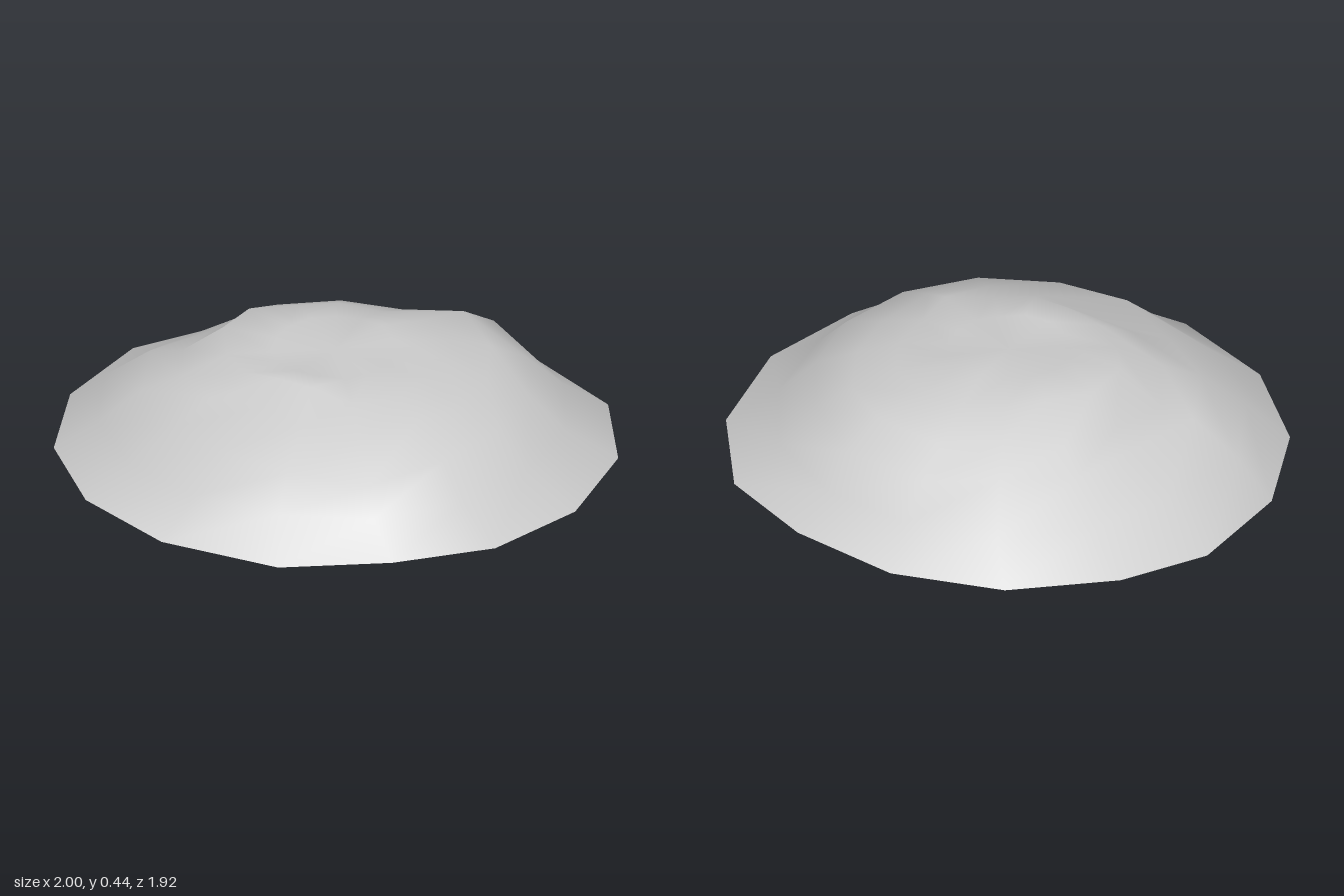
import * as THREE from 'three';

// Rim corners [x, z], starting at +x and turning towards +z
const RIM = [
  [1, -0.02], [0.91, 0.37], [0.66, 0.66], [0.3, 0.85], [-0.12, 0.96],
  [-0.52, 0.83], [-0.83, 0.55], [-1, 0.17], [-1, -0.25], [-0.83, -0.55],
  [-0.52, -0.83], [-0.12, -0.96], [0.3, -0.92], [0.66, -0.78], [0.91, -0.45],
];
const SIDES = RIM.length;
const SAGGING_CORNER = 3;

// Inner rings: radius and height, one value for all corners or one per corner
const RINGS = [
  { // foot of the slope
    r: [0.81, 0.82, 0.82, 0.8, 0.8, 0.82, 0.84, 0.87, 0.8, 0.83, 0.83, 0.82, 0.83, 0.85, 0.83],
    y: 0.157,
  },
  { // shoulder
    r: [0.69, 0.7, 0.73, 0.68, 0.66, 0.64, 0.68, 0.7, 0.61, 0.66, 0.64, 0.68, 0.74, 0.71, 0.7],
    y: [0.285, 0.27, 0.243, 0.265, 0.285, 0.26, 0.28, 0.285, 0.27, 0.27, 0.28, 0.25, 0.285, 0.285, 0.285],
  },
  { // upper slope
    r: [0.54, 0.53, 0.53, 0.47, 0.41, 0.49, 0.54, 0.575, 0.53, 0.54, 0.5, 0.54, 0.6, 0.58, 0.55],
    y: [0.34, 0.357, 0.335, 0.345, 0.355, 0.34, 0.33, 0.31, 0.32, 0.335, 0.35, 0.325, 0.37, 0.35, 0.345],
  },
  { // edge of the plateau
    r: [0.37, 0.42, 0.38, 0.33, 0.32, 0.36, 0.38, 0.42, 0.42, 0.36, 0.37, 0.38, 0.4, 0.42, 0.4],
    y: [0.405, 0.405, 0.39, 0.43, 0.43, 0.41, 0.41, 0.43, 0.428, 0.42, 0.41, 0.39, 0.4, 0.395, 0.4],
  },
  { // plateau
    r: 0.22,
    y: [0.415, 0.415, 0.41, 0.42, 0.42, 0.415, 0.415, 0.425, 0.43, 0.437, 0.435, 0.435, 0.44, 0.425, 0.415],
  },
];

const pick = (value, k) => (Array.isArray(value) ? value[k] : value);

export function createModel() {
  const group = new THREE.Group();
  const positions = [];
  const index = [];

  // Rim, with one corner sagging to the ground
  RIM.forEach(([x, z], k) => positions.push(x, k === SAGGING_CORNER ? 0 : 0.035, z));

  // Rings climbing to the flat, uneven top
  for (const ring of RINGS) {
    for (let k = 0; k < SIDES; k++) {
      const a = (k / SIDES) * Math.PI * 2;
      const r = pick(ring.r, k);
      positions.push(r * Math.cos(a), pick(ring.y, k), r * Math.sin(a));
    }
  }
  positions.push(0, 0.415, 0);

  // Skin between neighbouring rings, then the cap
  const top = SIDES * (RINGS.length + 1);
  for (let n = 0; n <= RINGS.length; n++) {
    for (let k = 0; k < SIDES; k++) {
      const o = n * SIDES + k;
      const oNext = n * SIDES + ((k + 1) % SIDES);
      if (n === RINGS.length) index.push(o, top, oNext);
      else index.push(o, o + SIDES, oNext, o + SIDES, oNext + SIDES, oNext);
    }
  }

  const geometry = new THREE.BufferGeometry();
  geometry.setAttribute('position', new THREE.Float32BufferAttribute(positions, 3));
  geometry.setIndex(index);
  geometry.computeVertexNormals();

  // Hollow mound, open underneath
  const mound = new THREE.Mesh(
    geometry,
    new THREE.MeshStandardMaterial({ color: 0xcccccc, side: THREE.DoubleSide })
  );
  mound.name = 'mound';
  group.add(mound);
  return group;
}
